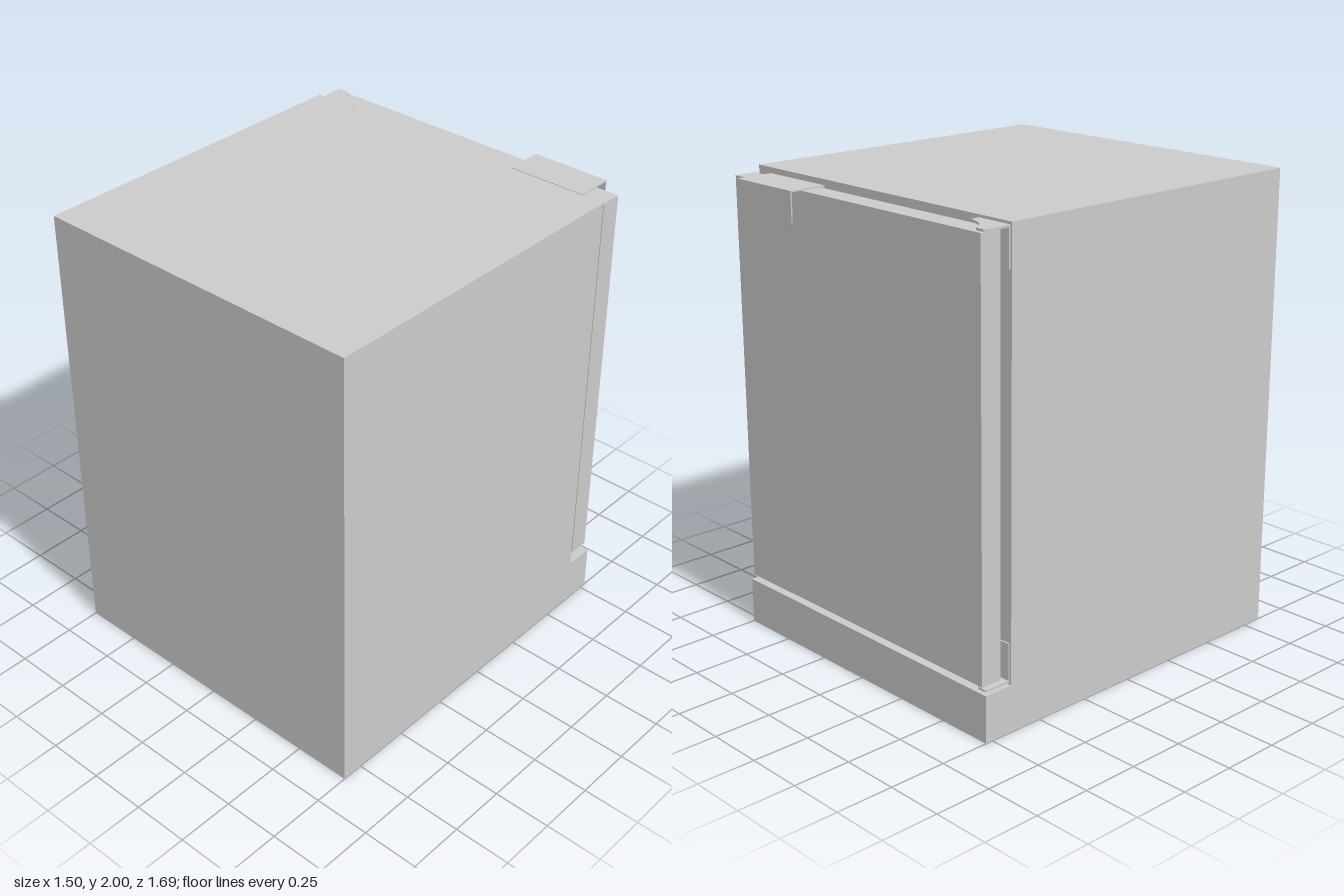
import * as THREE from 'three';

const material = new THREE.MeshStandardMaterial({ color: 0xcccccc, flatShading: true });

export function createModel() {
  const group = new THREE.Group();
  group.name = 'compactFridge';

  const add = (name, geometry) => {
    const mesh = new THREE.Mesh(geometry, material);
    mesh.name = name;
    group.add(mesh);
    return mesh;
  };
  // Box given by its minimum and maximum corners
  const box = (name, [x0, y0, z0], [x1, y1, z1]) =>
    add(name, new THREE.BoxGeometry(x1 - x0, y1 - y0, z1 - z0))
      .position.set((x0 + x1) / 2, (y0 + y1) / 2, (z0 + z1) / 2);
  const extrude = (shape, depth) =>
    new THREE.ExtrudeGeometry(shape, { depth, bevelEnabled: false, curveSegments: 10 });

  // Cabinet with a plinth stepping out below the door: side profile in (-z, y)
  const profile = [[-0.845, 0], [0.783, 0], [0.783, 0.2], [0.652, 0.2], [0.652, 2], [-0.845, 2]];
  const cabinet = extrude(new THREE.Shape(profile.map(([x, y]) => new THREE.Vector2(x, y))), 1.5);
  cabinet.rotateY(Math.PI / 2).translate(-0.75, 0, 0);
  add('cabinet', cabinet);

  // Door and the seal between it and the cabinet
  box('door', [-0.73, 0.228, -0.783], [0.73, 1.976, -0.688]);
  box('doorSeal', [-0.69, 0.265, -0.688], [0.69, 1.942, -0.652]);

  // Hinge brackets: curved plate over the door edge plus a flange on the cabinet
  const plate = new THREE.Shape();
  plate.moveTo(-0.742, 0.652);
  plate.lineTo(-0.578, 0.652);
  plate.lineTo(-0.578, 0.69);
  plate.bezierCurveTo(-0.63, 0.705, -0.665, 0.715, -0.682, 0.755);
  plate.quadraticCurveTo(-0.692, 0.776, -0.712, 0.776);
  plate.lineTo(-0.73, 0.776);
  plate.quadraticCurveTo(-0.742, 0.776, -0.742, 0.764);
  plate.closePath();
  for (const [name, y, flangeLow] of [['upper', 1.98, 1.826], ['lower', 0.21, 0.21]]) {
    const geometry = extrude(plate, 0.009);
    geometry.rotateX(-Math.PI / 2).translate(0, y, 0);
    add(name + 'HingePlate', geometry);
    box(name + 'HingeFlange', [-0.742, flangeLow, -0.659], [-0.578, flangeLow + 0.163, -0.65]);
  }

  // Handle: thin strip hooked over the door top, with a rounded hanging grip
  box('handleTop', [0.28, 1.979, -0.845], [0.63, 1.985, -0.68]);
  box('handleHook', [0.28, 1.95, -0.687], [0.63, 1.985, -0.681]);
  const grip = new THREE.Shape();
  const r = 0.045;
  grip.moveTo(0.28, 1.985);
  grip.lineTo(0.28, 1.833 + r);
  grip.quadraticCurveTo(0.28, 1.833, 0.28 + r, 1.833);
  grip.lineTo(0.63 - r, 1.833);
  grip.quadraticCurveTo(0.63, 1.833, 0.63, 1.833 + r);
  grip.lineTo(0.63, 1.985);
  grip.closePath();
  add('handleGrip', extrude(grip, 0.006)).position.z = -0.845;

  return group;
}
